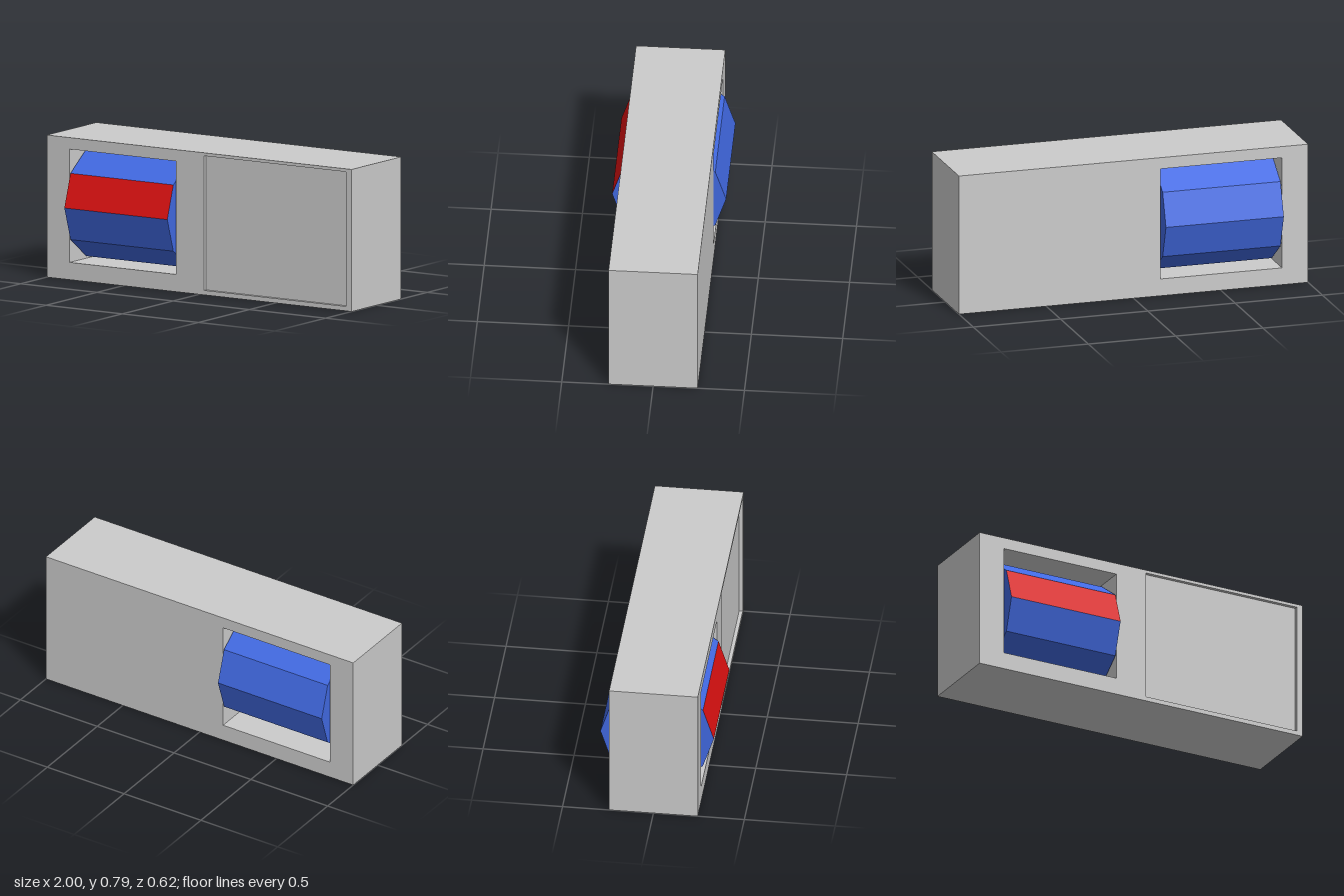
import * as THREE from 'three';
import { mergeGeometries } from 'three/addons/utils/BufferGeometryUtils.js';

const grey = new THREE.MeshStandardMaterial({ color: 0xcccccc, flatShading: true });
const blue = new THREE.MeshStandardMaterial({ color: 0x4169e1, flatShading: true });
const red = new THREE.MeshStandardMaterial({ color: 0xdd1111, flatShading: true });

// Rectangles as [x0, y0, x1, y1]
const OUTER = [-1, 0, 1, 0.787];
const WINDOW = [-0.85, 0.096, -0.153, 0.723];
const PANEL = [0.03, 0.025, 0.964, 0.77];
const FRONT = 0.244, BACK = -0.244, RECESS = 0.02;

const corners = ([x0, y0, x1, y1]) =>
  [[x0, y0], [x1, y0], [x1, y1], [x0, y1]].map(([x, y]) => new THREE.Vector2(x, y));

// Flat face with rectangular holes, facing +z or -z
function cap(rect, holes, z, facesBack = false) {
  const flip = ([x0, y0, x1, y1]) => (facesBack ? [-x1, y0, -x0, y1] : [x0, y0, x1, y1]);
  const shape = new THREE.Shape(corners(flip(rect)));
  shape.holes = holes.map(h => new THREE.Path(corners(flip(h)).reverse()));
  const g = new THREE.ShapeGeometry(shape).toNonIndexed();
  g.deleteAttribute('uv');
  if (facesBack) g.rotateY(Math.PI);
  return g.translate(0, 0, z);
}

// Four walls around a rectangle, facing outward or inward
function walls(rect, z0, z1, inward = false) {
  const loop = corners(rect);
  if (inward) loop.reverse();
  const pos = [];
  loop.forEach((a, i) => {
    const b = loop[(i + 1) % 4];
    pos.push(a.x, a.y, z0, b.x, b.y, z0, b.x, b.y, z1);
    pos.push(a.x, a.y, z0, b.x, b.y, z1, a.x, a.y, z1);
  });
  const g = new THREE.BufferGeometry();
  g.setAttribute('position', new THREE.Float32BufferAttribute(pos, 3));
  g.computeVertexNormals();
  return g;
}

// Facets of a ten-sided prism lying along x; facet 0 is just above the front edge
const SIDES = 10, STEP = (Math.PI * 2) / SIDES;
function facets(radius, length, first, count) {
  return new THREE.CylinderGeometry(radius, radius, length, count, 1, true, first * STEP, count * STEP)
    .rotateZ(Math.PI / 2);
}

export function createModel() {
  const model = new THREE.Group();
  const add = (parent, name, geometry, material) => {
    const mesh = new THREE.Mesh(geometry, material);
    mesh.name = name;
    parent.add(mesh);
    return mesh;
  };

  // Housing: block with a through window and a shallow recessed panel
  add(model, 'housing', mergeGeometries([
    cap(OUTER, [WINDOW, PANEL], FRONT),
    cap(OUTER, [WINDOW], BACK, true),
    walls(OUTER, BACK, FRONT),
    walls(WINDOW, BACK, FRONT, true),
    walls(PANEL, FRONT - RECESS, FRONT, true),
  ]), grey);
  add(model, 'recessedPanel', cap(PANEL, [], FRONT - RECESS), grey);

  // Drum: ten-sided roller with one red facet, turning on an axle
  const drum = new THREE.Group();
  drum.name = 'drum';
  drum.position.set((WINDOW[0] + WINDOW[2]) / 2, 0.408, 0);
  const radius = 0.312, length = 0.675;
  add(drum, 'redFacet', facets(radius, length, 0, 1), red);
  add(drum, 'blueFacets', facets(radius, length, 1, SIDES - 1), blue);
  for (const side of [-1, 1]) {
    const end = new THREE.CircleGeometry(radius, SIDES)
      .rotateY((side * Math.PI) / 2)
      .translate((side * length) / 2, 0, 0);
    add(drum, side > 0 ? 'leftEnd' : 'rightEnd', end, blue);
  }
  add(drum, 'axle', facets(0.1, WINDOW[2] - WINDOW[0], 0, SIDES), blue);
  model.add(drum);

  return model;
}
